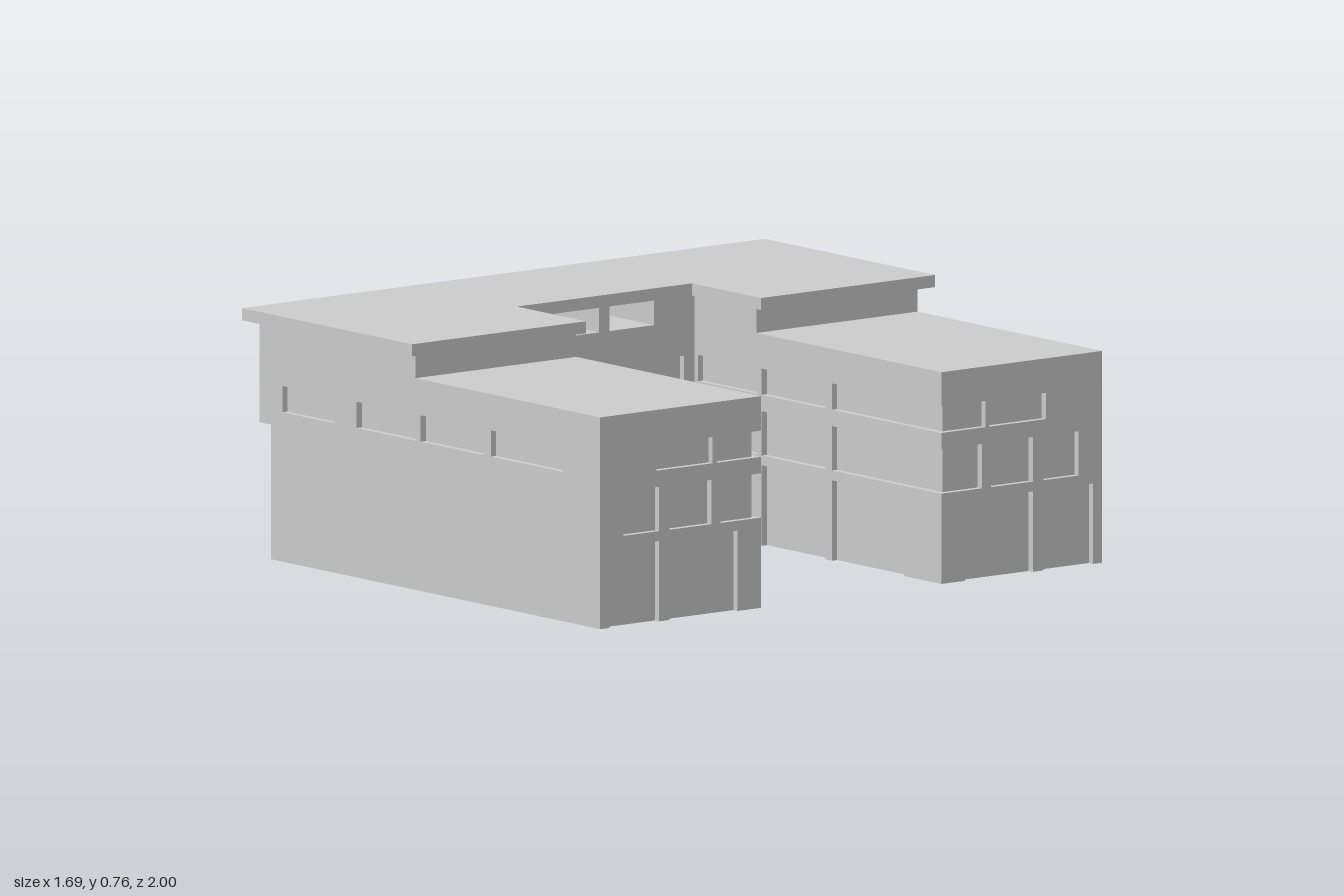
import * as THREE from 'three';

const material = new THREE.MeshStandardMaterial({ color: 0xcccccc, flatShading: true });

// Box given by its two limits on each axis
function block(name, [x0, x1], [y0, y1], [z0, z1]) {
  const mesh = new THREE.Mesh(new THREE.BoxGeometry(x1 - x0, y1 - y0, Math.abs(z1 - z0)), material);
  mesh.position.set((x0 + x1) / 2, (y0 + y1) / 2, (z0 + z1) / 2);
  mesh.name = name;
  return mesh;
}

// Wall running along 'x' or 'z': solid bands alternate with rows of piers and openings.
// rows (bottom to top): { y: [low, high], open: [[from, to], ...] }
function wall(name, along, span, thickness, height, rows) {
  const group = new THREE.Group();
  group.name = name;
  const add = (part, u, y) => {
    if (u[1] - u[0] < 0.001 || y[1] - y[0] < 0.001) return;
    group.add(along === 'x' ? block(part, u, y, thickness) : block(part, thickness, y, u));
  };
  let y = height[0];
  for (const row of rows) {
    add('band', span, [y, row.y[0]]);
    let u = span[0];
    for (const [from, to] of row.open) {
      add('pier', [u, from], row.y);
      u = to;
    }
    add('pier', [u, span[1]], row.y);
    y = row.y[1];
  }
  add('band', span, [y, height[1]]);
  return group;
}

const mirrorSpans = (spans, s) =>
  s > 0 ? spans : spans.map(([a, b]) => [-b, -a]).reverse();

export function createModel() {
  const model = new THREE.Group();
  model.name = 'building';

  const H = 0.645;                       // wing roof height
  const inner = 0.345, outer = 0.96, t = 0.02;
  const ground = [0, 0.245], middle = [0.275, 0.41], upper = [0.46, 0.54];
  const bays = [[-0.34, -0.05], [-0.03, 0.28]];

  // Two mirrored wings: recessed core wrapped in pierced walls
  for (const s of [1, -1]) {
    const wing = new THREE.Group();
    wing.name = s > 0 ? 'frontWing' : 'backWing';
    const span = s > 0 ? [inner, outer] : [-outer, -inner];
    wing.add(
      block('wingCore', [-0.735, 0.82], [0, H], [s * (inner + t), s * (outer - t)]),
      block('wingRoof', [-0.755, 0.84], [H - 0.02, H], span),
      wall('outerWall', 'x', [-0.755, 0.84], [s * (outer - t), s * outer], [0, H], [
        { y: [0.455, 0.535], open: [[-0.7, -0.445], ...bays, [0.31, 0.66]] },
      ]),
      // Upper two rows run round the courtyard corner
      wall('courtyardSideWall', 'x', [-0.375, 0.84], [s * inner, s * (inner + t)], [0, H], [
        { y: ground, open: [...bays, [0.31, 0.66]] },
        { y: middle, open: [...bays, [0.31, 0.84]] },
        { y: upper, open: [...bays, [0.31, 0.84]] },
      ]),
      wall('endWall', 'z', span, [0.82, 0.84], [0, H], [
        { y: ground, open: mirrorSpans([[0.435, 0.695], [0.735, 0.925]], s) },
        { y: middle, open: mirrorSpans([[inner, 0.5], [0.535, 0.695], [0.735, 0.87]], s) },
        { y: upper, open: mirrorSpans([[inner, 0.515], [0.53, 0.745]], s) },
      ]),
      block('upperStorey', [-0.355, -0.055], [H, 0.72], span),
    );
    model.add(wing);
  }

  // Linking block between the wings
  const centre = [[-0.305, 0.305]];
  model.add(
    block('linkCore', [-0.735, -0.375], [0, H], [-0.94, 0.94]),
    wall('courtyardEndWall', 'z', [-0.365, 0.365], [-0.375, -0.355], [0, H],
      [ground, middle, upper].map(y => ({ y, open: centre }))),
    wall('clerestory', 'z', [-outer, outer], [-0.81, -0.355], [H, 0.72], [
      { y: [H, 0.72], open: [[-0.19, -0.02], [0.02, 0.19]] },
    ]),
  );

  // Rear facade: jutting upper floor over a recessed ground floor with pilasters
  model.add(
    block('overhangCore', [-0.79, -0.73], [0.41, H], [-outer, outer]),
    wall('rearUpperWall', 'z', [-outer, outer], [-0.81, -0.79], [0.41, H], [
      { y: upper, open: [[-0.745, -0.53], [-0.515, -0.32], ...centre, [0.32, 0.515], [0.53, 0.745]] },
    ]),
    wall('rearGroundWall', 'z', [-outer, outer], [-0.755, -0.735], [0, 0.41], [
      { y: [0, 0.26], open: [[-0.925, -0.735], [-0.695, -0.535], [-0.5, -0.345], ...centre,
        [0.345, 0.5], [0.535, 0.695], [0.735, 0.925]] },
    ]),
  );
  for (const z of [-0.715, -0.518, -0.325, 0.325, 0.518, 0.715])
    model.add(block('pilaster', [-0.785, -0.75], [0, 0.41], [z - 0.02, z + 0.02]));

  // Overhanging U-shaped roof slab
  const plan = new THREE.Shape([
    [-0.845, -1], [-0.02, -1], [-0.02, -0.335], [-0.355, -0.335],
    [-0.355, 0.335], [-0.02, 0.335], [-0.02, 1], [-0.845, 1],
  ].map(([x, y]) => new THREE.Vector2(x, y)));
  const slab = new THREE.ExtrudeGeometry(plan, { depth: 0.037, bevelEnabled: false });
  slab.rotateX(-Math.PI / 2);
  const roof = new THREE.Mesh(slab, material);
  roof.position.y = 0.72;
  roof.name = 'roofSlab';
  model.add(roof);

  return model;
}
